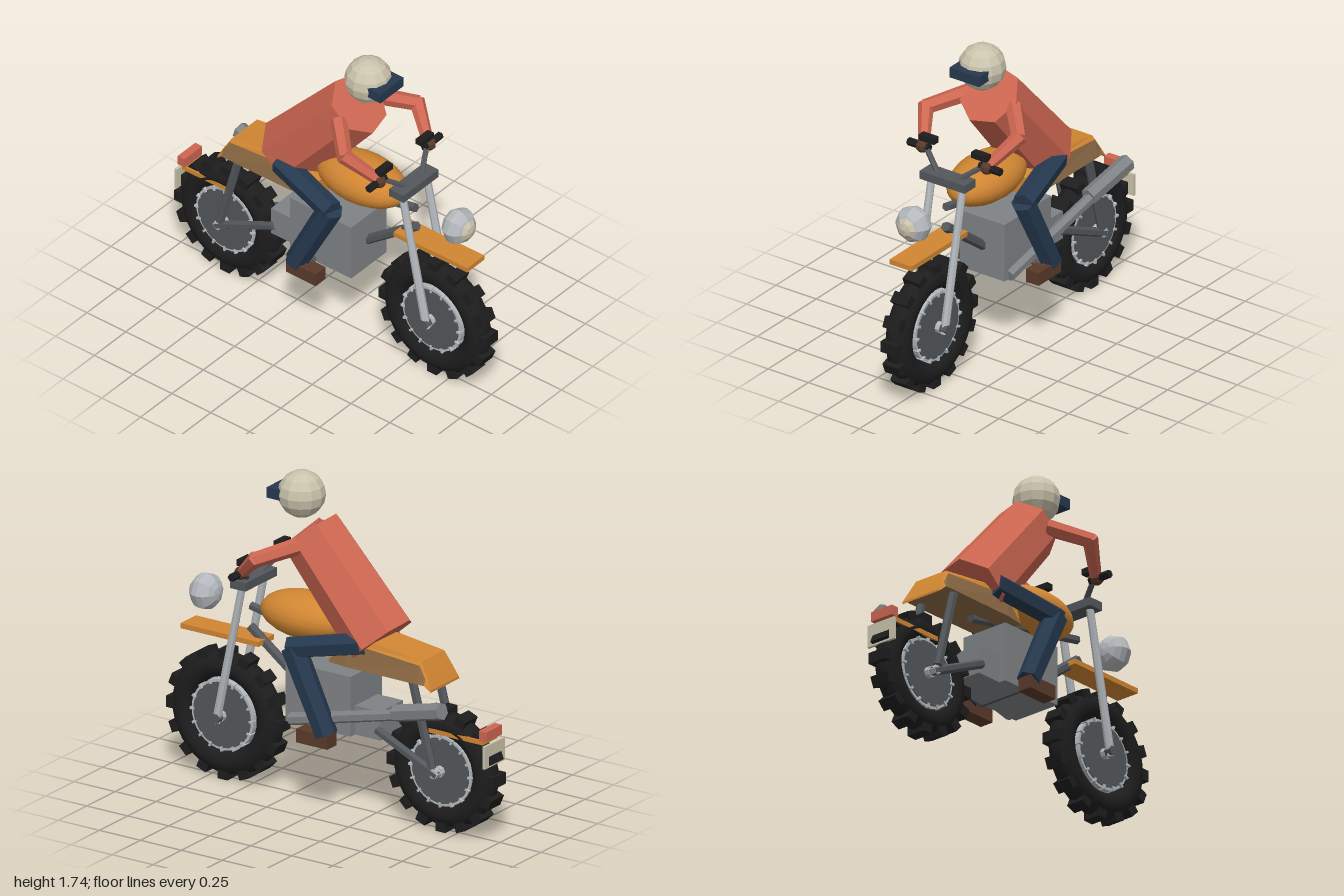
import * as THREE from 'three';

const mat = (name, color) => {
  const m = new THREE.MeshStandardMaterial({ color });
  m.name = name;
  return m;
};
const V = (x, y, z) => new THREE.Vector3(x, y, z);

export function createModel() {
  const coral = mat('coral', 0xcd6651), orange = mat('orange', 0xd18632), navy = mat('navy', 0x26394f);
  const black = mat('black', 0x1d1d1d), grey = mat('grey', 0x7f8285), dark = mat('darkGrey', 0x53575b);
  const silver = mat('silver', 0xb4b8bc), cream = mat('cream', 0xcac3ac), brown = mat('brown', 0x5a3a2a);
  const tan = mat('tan', 0x8c6a44);
  const root = new THREE.Group();
  root.name = 'motorcycleAndRider';

  const flat = (g) => {
    const f = g.index ? g.toNonIndexed() : g;
    f.computeVertexNormals();
    return f;
  };
  const add = (name, geo, m, pos = V(0, 0, 0), parent = root) => {
    const mesh = new THREE.Mesh(geo, m);
    mesh.name = name;
    mesh.position.copy(pos);
    parent.add(mesh);
    return mesh;
  };
  // Box given by its lower and upper corners
  const box = (name, m, a, b, parent) =>
    add(name, flat(new THREE.BoxGeometry(b.x - a.x, b.y - a.y, b.z - a.z)), m, a.clone().add(b).multiplyScalar(0.5), parent);
  // Faceted tube from a to b
  const rod = (name, m, a, b, ra, rb = ra, sides = 6, theta = 0) => {
    const g = flat(new THREE.CylinderGeometry(rb, ra, a.distanceTo(b), sides, 1, false, theta));
    const mesh = add(name, g, m, a.clone().add(b).multiplyScalar(0.5));
    mesh.quaternion.setFromUnitVectors(V(0, 1, 0), b.clone().sub(a).normalize());
    return mesh;
  };

  // Wheels: round tyre, tread knobs, rim with bolts and disc
  const wheel = (name, y, z, outer, tube, knobWidth) => {
    const w = new THREE.Group();
    w.name = name;
    w.position.set(0, y, z);
    root.add(w);
    const tyreR = outer - 0.02;
    add('tyre', new THREE.TorusGeometry(tyreR - tube, tube, 12, 40).rotateY(Math.PI / 2), black, V(0, 0, 0), w);
    add('rim', flat(new THREE.CylinderGeometry(0.188, 0.188, 0.1, 32).rotateZ(Math.PI / 2)), silver, V(0, 0, 0), w);
    add('disc', flat(new THREE.CylinderGeometry(0.174, 0.174, 0.11, 32).rotateZ(Math.PI / 2)), dark, V(0, 0, 0), w);
    add('hub', flat(new THREE.CylinderGeometry(0.03, 0.03, 0.16, 8).rotateZ(Math.PI / 2)), silver, V(0, 0, 0), w);
    for (let i = 0; i < 16; i++) {
      const a = (i / 16) * Math.PI * 2;
      const knob = add('knob', flat(new THREE.BoxGeometry(knobWidth, 0.05, 0.06)), black,
        V(0, Math.cos(a) * (outer - 0.025), Math.sin(a) * (outer - 0.025)), w);
      knob.rotation.x = a;
      const bolt = add('rimBolt', flat(new THREE.BoxGeometry(0.125, 0.025, 0.012)), silver,
        V(0, Math.cos(a) * 0.18, Math.sin(a) * 0.18), w);
      bolt.rotation.x = a;
    }
  };
  wheel('frontWheel', 0.345, 0.657, 0.345, 0.068, 0.1);
  wheel('rearWheel', 0.33, -0.674, 0.326, 0.067, 0.11);

  // Chassis
  box('engine', grey, V(-0.14, 0.435, -0.185), V(0.14, 0.755, 0.21));
  box('gearbox', grey, V(-0.1, 0.435, -0.34), V(0.1, 0.59, -0.185));
  rod('backboneTube', dark, V(0, 0.945, 0.515), V(0, 0.785, -0.29), 0.024);
  rod('downTube', dark, V(0, 0.835, 0.52), V(0, 0.58, 0.18), 0.026);
  rod('footPegs', dark, V(-0.22, 0.45, -0.03), V(0.22, 0.45, -0.03), 0.018);
  rod('frontAxle', dark, V(-0.12, 0.345, 0.657), V(0.12, 0.345, 0.657), 0.028);
  rod('rearAxle', silver, V(-0.12, 0.33, -0.674), V(0.12, 0.33, -0.674), 0.026);

  // Exhaust on the left side
  rod('exhaustPipe', grey, V(0.14, 0.455, 0.175), V(0.165, 0.625, -0.49), 0.034, 0.03);
  rod('muffler', grey, V(0.16, 0.63, -0.475), V(0.185, 0.71, -0.775), 0.046);

  // Bodywork
  add('fuelTank', new THREE.SphereGeometry(1, 20, 12).rotateX(Math.PI / 2).scale(0.155, 0.122, 0.27), orange, V(0, 0.972, 0.17));
  box('frontFender', orange, V(-0.068, 0.763, 0.425), V(0.068, 0.79, 0.9));
  box('rearFender', orange, V(-0.065, 0.526, -0.94), V(0.065, 0.55, -0.61));
  box('tailLamp', coral, V(-0.07, 0.55, -0.965), V(0.07, 0.602, -0.92));
  box('numberPlate', cream, V(-0.09, 0.41, -0.97), V(0.09, 0.53, -0.955));

  // Seat: sections along z as [z, bottom, middle, top heights, three half widths]
  const rings = [
    [-0.04, 0.8, 0.815, 0.9, 0.12, 0.11, 0.09],
    [-0.15, 0.8, 0.925, 0.967, 0.135, 0.115, 0.1],
    [-0.59, 0.8, 0.893, 0.912, 0.138, 0.115, 0.1],
    [-0.63, 0.8, 0.83, 0.845, 0.136, 0.122, 0.11],
    [-0.665, 0.768, 0.774, 0.78, 0.126, 0.125, 0.124],
  ].map(([z, b, m, t, wb, wm, wt]) =>
    [V(wb, b, z), V(wm, m, z), V(wt, t, z), V(-wt, t, z), V(-wm, m, z), V(-wb, b, z)]);
  const faces = { top: [], side: [] };
  for (let i = 0; i < 4; i++) {
    for (let j = 0; j < 6; j++) {
      const k = (j + 1) % 6;
      const a = rings[i][j], b = rings[i][k], c = rings[i + 1][k], d = rings[i + 1][j];
      const isSide = i < 3 && (j === 0 || j >= 4);
      faces[isSide ? 'side' : 'top'].push(a, d, c, a, c, b);
    }
  }
  for (let j = 1; j < 5; j++) {
    faces.top.push(rings[0][0], rings[0][j], rings[0][j + 1], rings[4][0], rings[4][j + 1], rings[4][j]);
  }
  add('seatTop', flat(new THREE.BufferGeometry().setFromPoints(faces.top)), orange);
  add('seatSides', flat(new THREE.BufferGeometry().setFromPoints(faces.side)), tan);

  // Headlight
  const lamp = (r, w, h) => flat(new THREE.SphereGeometry(r, w, h).rotateX(Math.PI / 2).scale(1, 1, 0.82));
  add('headlightShell', lamp(0.098, 8, 8), silver, V(0, 0.965, 0.79));
  add('headlightLens', lamp(0.072, 8, 6), cream, V(0, 0.965, 0.82));

  // Steering
  box('forkClamp', dark, V(-0.14, 1.075, 0.455), V(0.14, 1.12, 0.548));

  // Rider: torso and head
  rod('torso', coral, V(0, 0.935, -0.285), V(0, 1.425, 0.145), 0.185, 0.165, 7, Math.PI / 2);
  add('helmet', flat(new THREE.SphereGeometry(0.123, 12, 8)), cream, V(0, 1.612, 0.208));
  box('visor', navy, V(-0.092, 1.585, 0.2), V(0.092, 1.64, 0.36));

  // Mirrored parts
  for (const s of [-1, 1]) {
    const P = (x, y, z) => V(s * x, y, z);
    const side = (name, m, x0, y0, z0, x1, y1, z1) =>
      box(name, m, V(Math.min(s * x0, s * x1), y0, z0), V(Math.max(s * x0, s * x1), y1, z1));
    rod('forkLeg', silver, P(0.097, 0.32, 0.662), P(0.097, 1.1, 0.5), 0.023, 0.02, 8);
    rod('swingArm', dark, P(0.1, 0.49, -0.32), P(0.1, 0.32, -0.69), 0.024);
    rod('rearShock', dark, P(0.108, 0.81, -0.54), P(0.108, 0.36, -0.66), 0.024);
    rod('handlebar', dark, P(0.06, 1.11, 0.5), P(0.18, 1.2, 0.44), 0.015);
    rod('grip', black, P(0.155, 1.197, 0.44), P(0.287, 1.197, 0.44), 0.021);
    side('leverHousing', black, 0.115, 1.235, 0.42, 0.21, 1.268, 0.46);
    add('hand', flat(new THREE.SphereGeometry(0.036, 7, 5)), brown, P(0.2, 1.197, 0.44));
    rod('upperArm', coral, P(0.14, 1.39, 0.13), P(0.295, 1.325, 0.295), 0.045, 0.04);
    rod('forearm', coral, P(0.295, 1.34, 0.28), P(0.2, 1.205, 0.43), 0.041, 0.03);
    rod('thigh', navy, P(0.13, 0.945, -0.25), P(0.205, 0.865, 0.14), 0.063, 0.06);
    rod('shin', navy, P(0.195, 0.87, 0.125), P(0.21, 0.445, -0.09), 0.066, 0.06);
    side('boot', brown, 0.17, 0.385, -0.12, 0.25, 0.458, 0.07);
  }
  return root;
}
